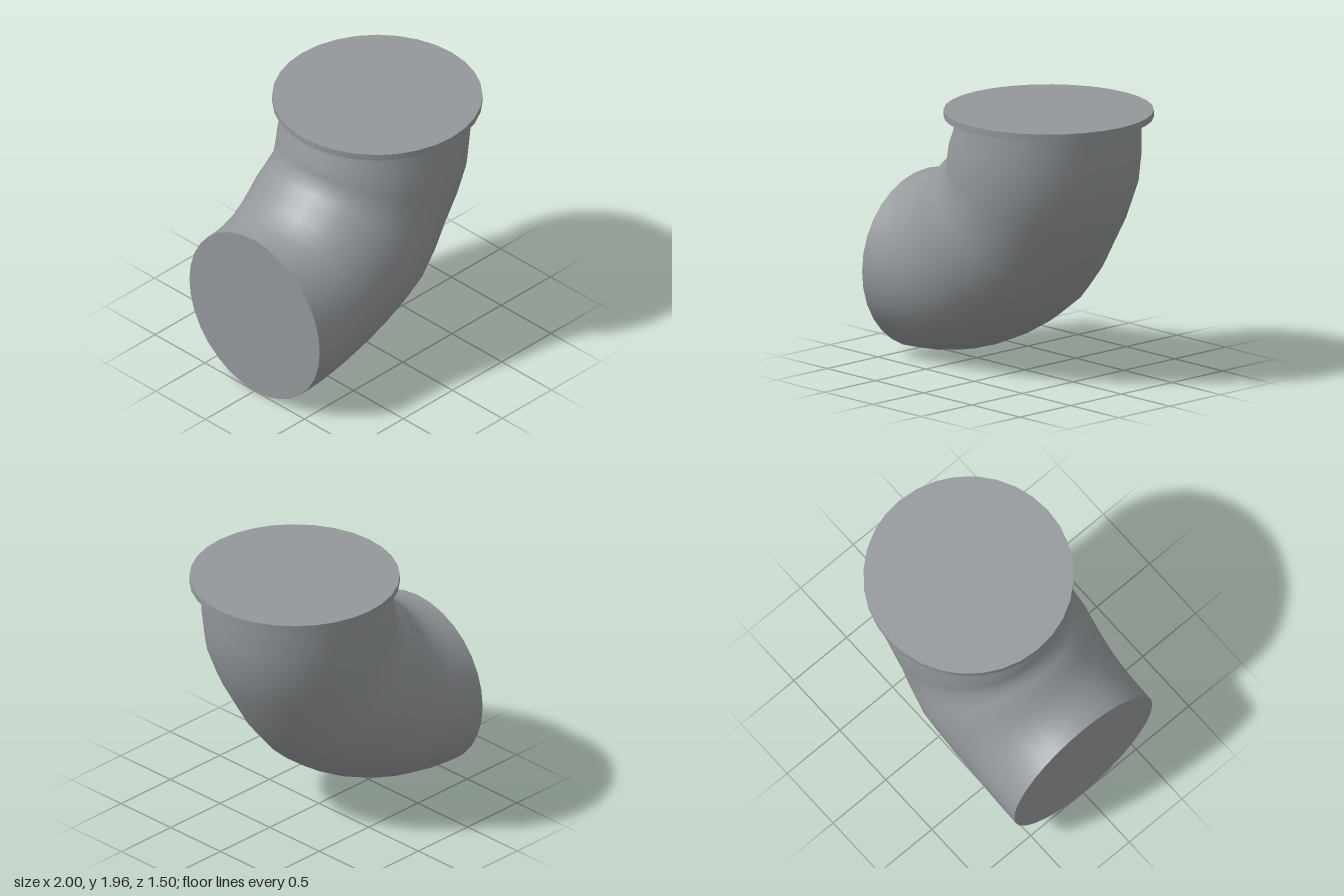
import * as THREE from 'three';

const SIDES = 32;

// Each section of the bend: outer point x, y, inner point x, y, half width in z
const SECTIONS = [
  [-1, 0, -1, 1.31, 0.655],
  [-0.76, 0.02, -0.92, 1.32, 0.655],
  [-0.52, 0.065, -0.85, 1.34, 0.655],
  [-0.3, 0.135, -0.77, 1.37, 0.66],
  [-0.1, 0.22, -0.7, 1.42, 0.67],
  [0.13, 0.35, -0.64, 1.48, 0.683],
  [0.33, 0.5, -0.61, 1.51, 0.693],
  [0.5, 0.7, -0.56, 1.555, 0.68],
  [0.63, 0.91, -0.5, 1.6, 0.665],
  [0.76, 1.13, -0.485, 1.68, 0.677],
  [0.86, 1.37, -0.47, 1.76, 0.69],
  [0.905, 1.63, -0.44, 1.82, 0.677],
  [0.91, 1.91, -0.42, 1.91, 0.66],
];

// Elliptical rings joined into a smooth tube
function elbowGeometry() {
  const positions = [], index = [];
  SECTIONS.forEach(([ox, oy, ix, iy, w], i) => {
    const cx = (ox + ix) / 2, cy = (oy + iy) / 2;
    for (let j = 0; j < SIDES; j++) {
      const t = (j / SIDES) * Math.PI * 2, c = Math.cos(t);
      positions.push(cx + (ox - cx) * c, cy + (oy - cy) * c, w * Math.sin(t));
      if (i === SECTIONS.length - 1) continue;
      const k = (j + 1) % SIDES;
      const a = i * SIDES + j, d = i * SIDES + k;
      index.push(a, a + SIDES, d, a + SIDES, d + SIDES, d);
    }
  });
  const g = new THREE.BufferGeometry();
  g.setAttribute('position', new THREE.Float32BufferAttribute(positions, 3));
  g.setIndex(index);
  g.computeVertexNormals();
  return g;
}

export function createModel() {
  const model = new THREE.Group();
  model.name = 'pipeElbow';
  const metal = new THREE.MeshStandardMaterial({ color: 0x94989b });
  metal.name = 'grey metal';

  const add = (name, geometry) => {
    const mesh = new THREE.Mesh(geometry, metal);
    mesh.name = name;
    model.add(mesh);
    return mesh;
  };

  // Bent pipe
  add('elbow', elbowGeometry());

  // Flat closed end of the horizontal opening
  const cap = add('endCap', new THREE.CircleGeometry(0.655, SIDES));
  cap.rotation.y = -Math.PI / 2;
  cap.position.set(-1, 0.655, 0);

  // Thin round flange on the upright opening
  const flange = add('flange', new THREE.CylinderGeometry(0.752, 0.752, 0.05, SIDES));
  flange.position.set(0.247, 1.935, 0);

  return model;
}
